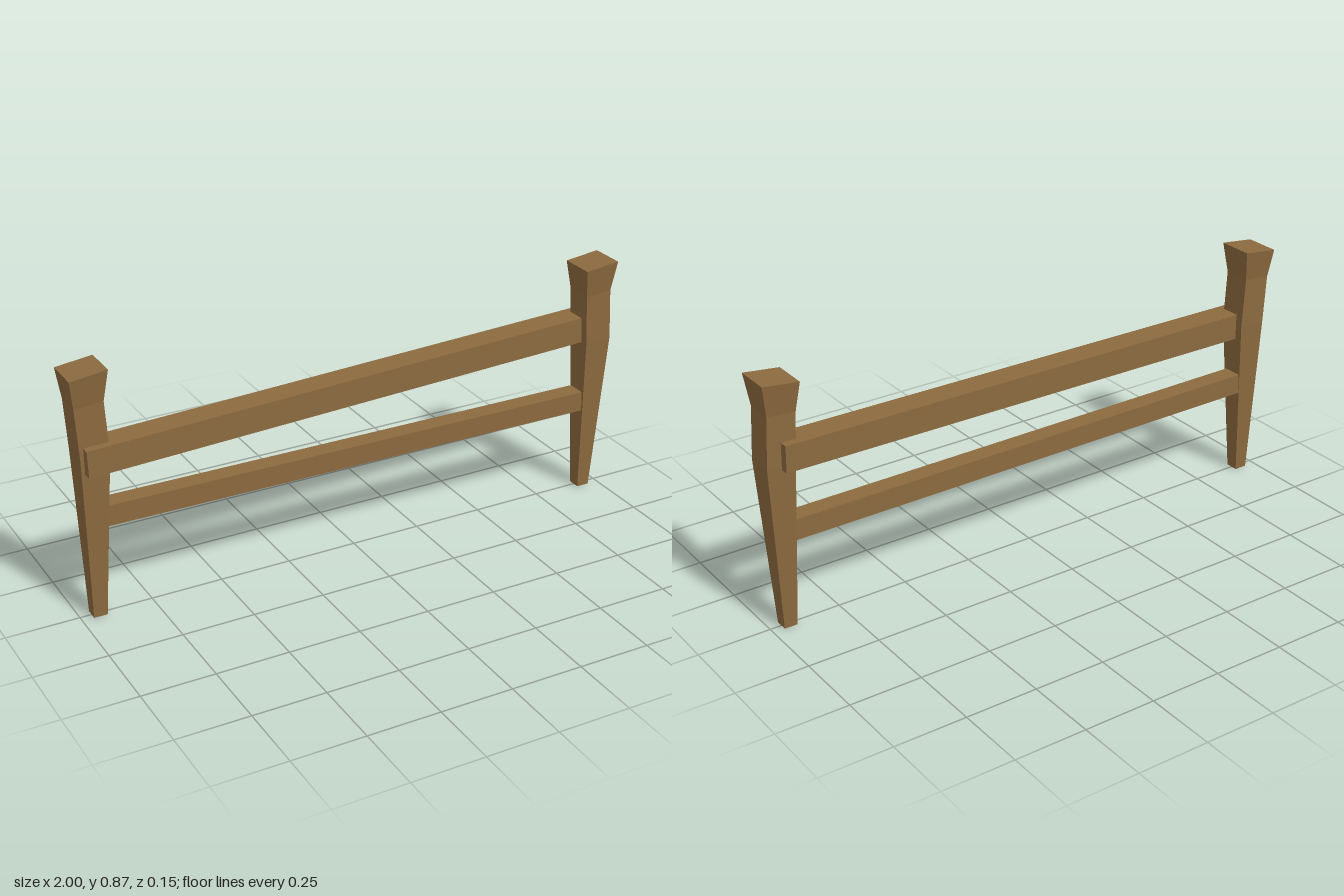
import * as THREE from 'three';

const wood = new THREE.MeshStandardMaterial({ color: 0x8c6a3f });
wood.name = 'brown wood';

// Post cross-sections from the ground up: height, centre offset in x, half width, tilt
const POST_ROWS = [
  { y: 0, x: 0, half: 0.023, tilt: 0 },
  { y: 0.585, x: 0.009, half: 0.049, tilt: 0 },
  { y: 0.76, x: -0.001, half: 0.049, tilt: 0.004 },
  { y: 0.864, x: 0, half: 0.063, tilt: 0.0075 },
];

// Square post with a tapered foot, a slight bend and a flared, tilted head
function makePost(name, x) {
  const box = new THREE.BoxGeometry(2, 3, 2, 1, 3, 1);
  const pos = box.attributes.position;
  for (let i = 0; i < pos.count; i++) {
    const row = POST_ROWS[Math.round(pos.getY(i) + 1.5)];
    const sx = pos.getX(i);
    const sz = pos.getZ(i);
    pos.setXYZ(i, row.x + sx * row.half, row.y + sx * row.tilt, sz * row.half);
  }
  const geometry = box.toNonIndexed();
  geometry.computeVertexNormals();
  const post = new THREE.Mesh(geometry, wood);
  post.name = name;
  post.position.x = x;
  return post;
}

// Straight beam running between two end points
function makeRail(name, start, end, height, depth) {
  const a = new THREE.Vector3(...start);
  const b = new THREE.Vector3(...end);
  const rail = new THREE.Mesh(new THREE.BoxGeometry(a.distanceTo(b), height, depth), wood);
  rail.name = name;
  rail.position.copy(a).add(b).multiplyScalar(0.5);
  const d = b.clone().sub(a);
  rail.rotation.set(0, Math.atan2(-d.z, d.x), Math.atan2(d.y, Math.hypot(d.x, d.z)));
  return rail;
}

export function createModel() {
  const fence = new THREE.Group();
  fence.name = 'fence';
  fence.add(
    makePost('rightPost', -0.937),
    makePost('leftPost', 0.937),
    // The upper rail runs askew: its ends show in front of one post and behind the other
    makeRail('upperRail', [-0.965, 0.576, 0.03], [0.945, 0.621, -0.03], 0.092, 0.094),
    makeRail('lowerRail', [-0.93, 0.359, -0.003], [0.93, 0.348, -0.003], 0.072, 0.068),
  );
  return fence;
}
